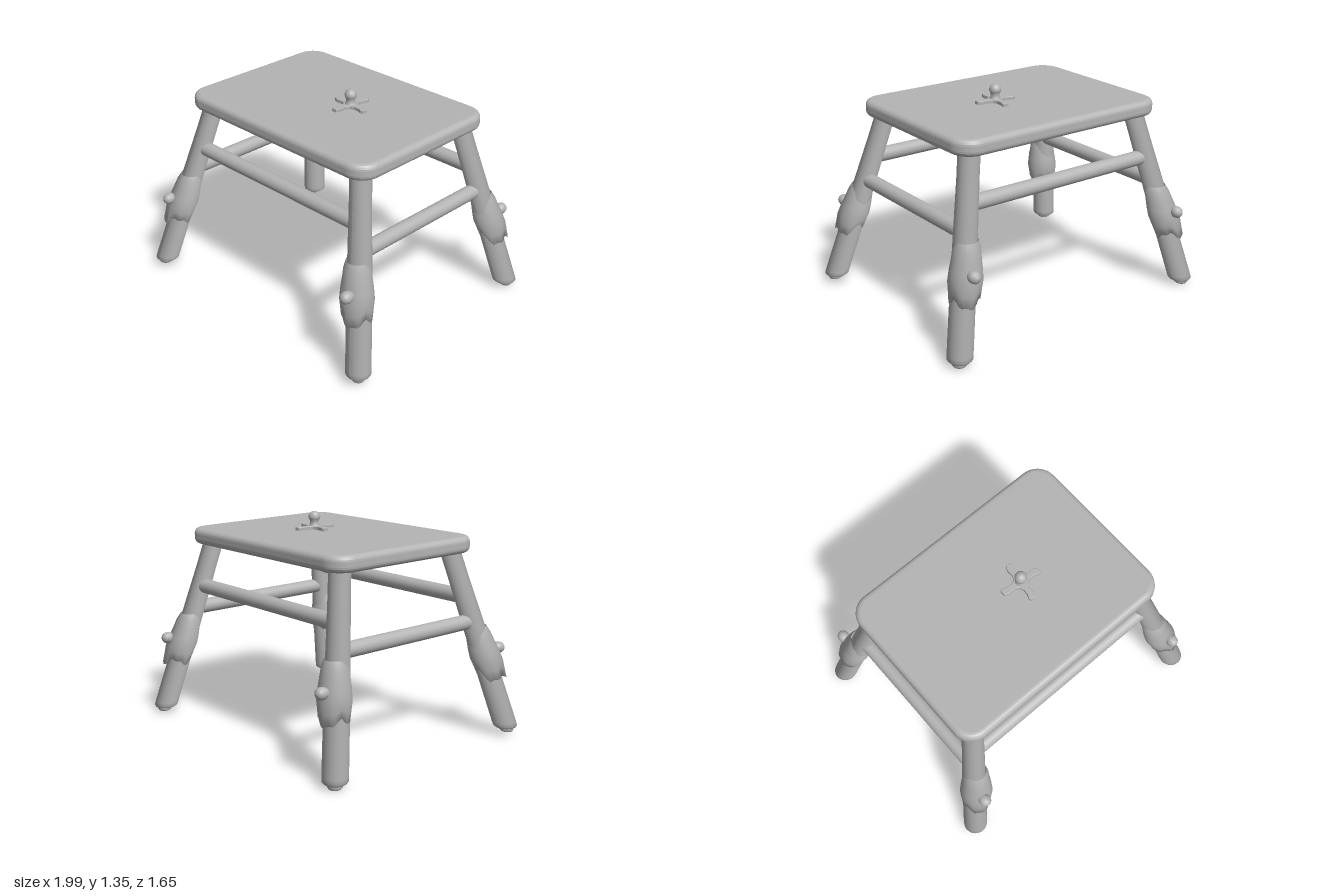
import * as THREE from 'three';

const wood = new THREE.MeshStandardMaterial({ color: 0xb4b4b4 });
wood.name = 'grey wood';
const woodOpen = new THREE.MeshStandardMaterial({ color: 0xb4b4b4, side: THREE.DoubleSide });
woodOpen.name = 'grey wood';

const FOOT = { x: 0.875, y: 0.04, z: 0.69 };
const TOP = { x: 0.62, y: 1.15, z: 0.43 };

function add(parent, name, geometry, material = wood) {
  const mesh = new THREE.Mesh(geometry, material);
  mesh.name = name;
  parent.add(mesh);
  return mesh;
}

// Centre of a splayed leg at height y
function legAt(y, sx, sz) {
  const t = (y - FOOT.y) / (TOP.y - FOOT.y);
  return new THREE.Vector3(
    sx * THREE.MathUtils.lerp(FOOT.x, TOP.x, t), y,
    sz * THREE.MathUtils.lerp(FOOT.z, TOP.z, t));
}

// Lean an upright geometry along the leg, keeping its ends level
function lean(geometry, sx, sz) {
  geometry.computeVertexNormals();
  const p = geometry.attributes.position;
  for (let i = 0; i < p.count; i++) {
    const c = legAt(p.getY(i), sx, sz);
    p.setX(i, p.getX(i) + c.x);
    p.setZ(i, p.getZ(i) + c.z);
  }
  return geometry;
}

function lathe(points, segments = 28) {
  return new THREE.LatheGeometry(points.map(([r, y]) => new THREE.Vector2(r, y)), segments);
}

// Round bar between two points
function bar(parent, name, a, b, radius) {
  const d = b.clone().sub(a);
  const mesh = add(parent, name, new THREE.CylinderGeometry(radius, radius, d.length(), 24));
  mesh.position.copy(a).add(b).multiplyScalar(0.5);
  mesh.quaternion.setFromUnitVectors(new THREE.Vector3(0, 1, 0), d.normalize());
}

function roundedRect(w, d, r) {
  const s = new THREE.Shape();
  const x = w / 2, y = d / 2;
  s.absarc(x - r, y - r, r, 0, Math.PI / 2);
  s.absarc(r - x, y - r, r, Math.PI / 2, Math.PI);
  s.absarc(r - x, r - y, r, Math.PI, Math.PI * 1.5);
  s.absarc(x - r, r - y, r, Math.PI * 1.5, Math.PI * 2);
  return s;
}

// Flat slab with softened edges, lying between two heights
function slab(shape, bottom, top, bevel) {
  const g = new THREE.ExtrudeGeometry(shape, {
    depth: top - bottom - 2 * bevel, bevelThickness: bevel, bevelSize: bevel,
    bevelOffset: -bevel, bevelSegments: 5, curveSegments: 10 });
  return g.rotateX(-Math.PI / 2).translate(0, bottom + bevel, 0);
}

// Bark sleeve with a ragged lower rim, swollen towards the outside
function sleeve(sx, sz) {
  const g = lathe([[0.06, 0.37], [0.088, 0.365], [0.094, 0.42], [0.1, 0.47], [0.094, 0.53],
    [0.086, 0.58], [0.078, 0.64], [0.064, 0.68]], 32);
  const p = g.attributes.position;
  for (let i = 0; i < p.count; i++) {
    const a = Math.atan2(p.getZ(i) * sz, p.getX(i) * sx);
    const low = THREE.MathUtils.clamp((0.5 - p.getY(i)) / 0.13, 0, 1);
    p.setY(i, p.getY(i) + low * (0.02 * Math.sin(3 * a + 1) + 0.01 * Math.sin(7 * a)));
    p.setZ(i, p.getZ(i) + sz * 0.018);
  }
  return lean(g, sx, sz);
}

function buildLeg(sx, sz) {
  const leg = new THREE.Group();
  leg.name = (sz > 0 ? 'front' : 'back') + (sx > 0 ? 'Left' : 'Right') + 'Leg';
  add(leg, 'legPost', lean(lathe([[0, 0.04], [0.064, 0.04], [0.074, 0.05], [0.075, 0.075],
    [0.073, 0.5], [0.064, 1.0], [0.064, 1.15]]), sx, sz));
  add(leg, 'footPad', lean(lathe([[0, 0.011], [0.035, 0.011], [0.043, 0.02], [0.043, 0.045]], 20), sx, sz));
  add(leg, 'barkSleeve', sleeve(sx, sz), woodOpen);

  // Rounded peg pointing away from the seat
  const peg = add(leg, 'peg', lathe([[0.034, -0.07], [0.03, -0.02], [0.023, 0.02], [0.026, 0.04],
    [0.034, 0.055], [0.037, 0.075], [0.031, 0.097], [0.017, 0.109], [0, 0.112]], 20));
  peg.position.set(sx * 0.785, 0.525, sz * 0.63);
  peg.rotation.x = sz * Math.PI / 2;
  return leg;
}

// Four-armed plate with a narrow waist and flared tips
function crossShape() {
  const arm = [[0.03, -0.03], [0.055, -0.017], [0.09, -0.018], [0.115, -0.027], [0.13, -0.02],
    [0.127, 0.012], [0.1, 0.022], [0.055, 0.017]];
  const points = [];
  for (let k = 0; k < 4; k++) {
    for (const [x, y] of arm) {
      points.push(new THREE.Vector2(x, y).rotateAround(new THREE.Vector2(), k * Math.PI / 2));
    }
  }
  return new THREE.Shape(points);
}

export function createModel() {
  const model = new THREE.Group();
  model.name = 'stool';
  const body = new THREE.Group();
  body.name = 'stoolBody';
  body.rotation.set(-0.015, 0.075, 0.004);
  model.add(body);

  // Seat and the thin panel beneath it
  add(body, 'seat', slab(roundedRect(1.49, 1.1, 0.13), 1.135, 1.235, 0.035));
  add(body, 'underPanel', slab(roundedRect(1.2, 0.86, 0.03), 1.112, 1.15, 0.004));

  // Legs
  for (const sx of [-1, 1]) for (const sz of [-1, 1]) body.add(buildLeg(sx, sz));

  // Stretchers: long pair higher, short pair lower
  for (const s of [-1, 1]) {
    bar(body, s > 0 ? 'frontStretcher' : 'backStretcher', legAt(0.86, -1, s), legAt(0.86, 1, s), 0.046);
    bar(body, s > 0 ? 'leftStretcher' : 'rightStretcher', legAt(0.71, s, -1), legAt(0.71, s, 1), 0.046);
  }

  // Knob on its cross-shaped plate
  const ornament = new THREE.Group();
  ornament.name = 'seatOrnament';
  ornament.position.set(0.122, 1.232, -0.008);
  ornament.rotation.y = -0.075;
  add(ornament, 'crossPlate', slab(crossShape(), -0.004, 0.024, 0.004));
  add(ornament, 'knob', lathe([[0.045, 0], [0.036, 0.022], [0.027, 0.035], [0.027, 0.055],
    [0.034, 0.066], [0.037, 0.08], [0.031, 0.1], [0.017, 0.111], [0, 0.114]], 24));
  body.add(ornament);

  return model;
}
